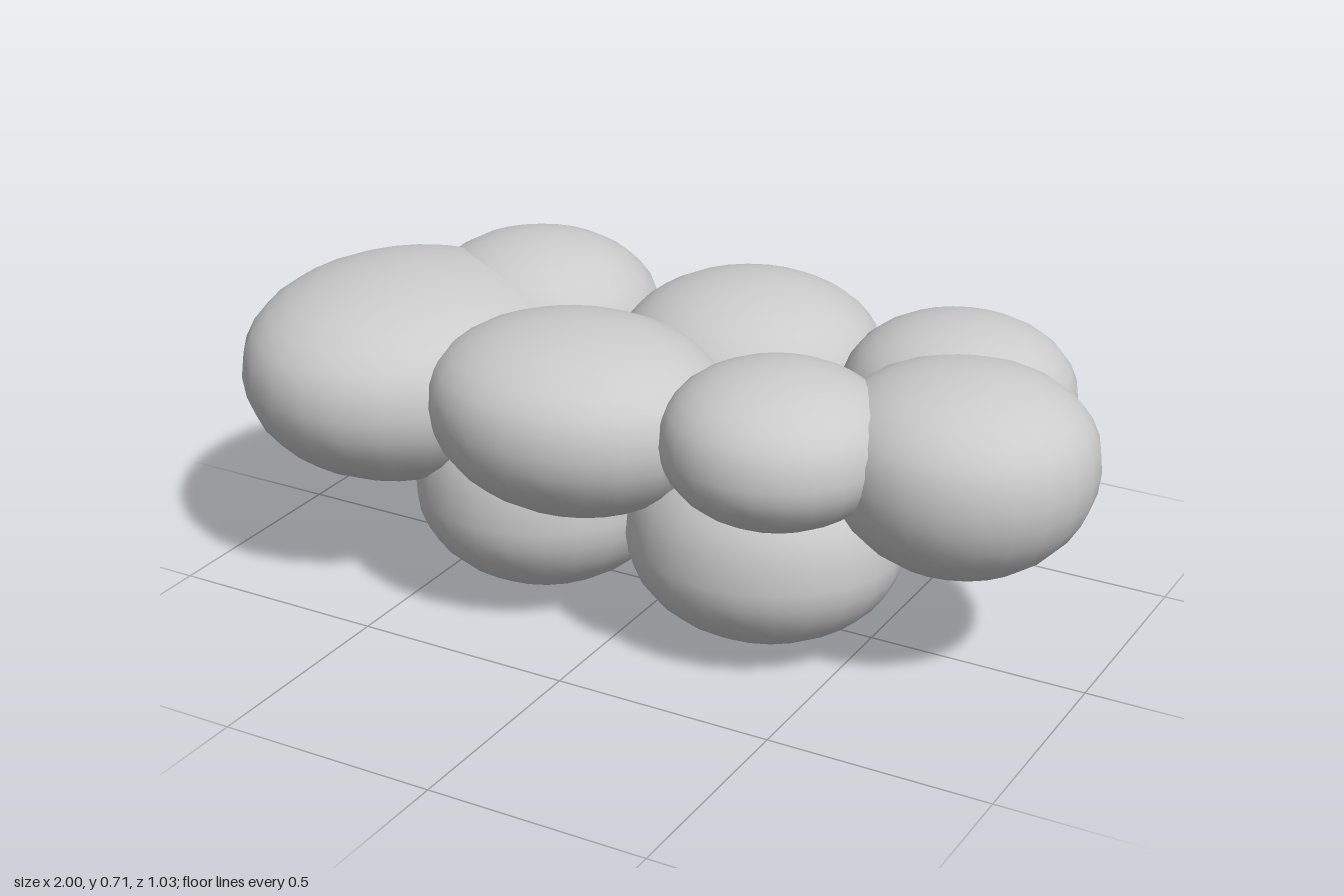
import * as THREE from 'three';

// name, centre x, centre z, radius x, radius z, bottom y, widest y, top y
const PUFFS = [
  ['leftEndPuff', -0.64, 0.1, 0.36, 0.41, 0.22, 0.48, 0.7],
  ['backLeftPuff', -0.47, -0.2, 0.29, 0.29, 0.23, 0.48, 0.71],
  ['backMiddlePuff', 0.08, -0.21, 0.31, 0.31, 0.25, 0.48, 0.7],
  ['backRightPuff', 0.6, -0.19, 0.26, 0.25, 0.33, 0.52, 0.71],
  ['rightEndPuff', 0.71, 0.04, 0.29, 0.28, 0.25, 0.5, 0.7],
  ['frontMiddlePuff', -0.12, 0.21, 0.34, 0.3, 0.28, 0.51, 0.7],
  ['frontRightPuff', 0.37, 0.22, 0.25, 0.25, 0.36, 0.53, 0.7],
  ['lowerLeftPuff', -0.3, 0.05, 0.3, 0.31, 0, 0.23, 0.5],
  ['lowerRightPuff', 0.28, 0.09, 0.31, 0.29, 0.02, 0.24, 0.5],
];

// An ellipsoid with separate upper and lower heights and a flattened crown
function puffGeometry(rx, rz, bottom, mid, top) {
  const geometry = new THREE.SphereGeometry(1, 24, 16);
  const p = geometry.attributes.position;
  const n = geometry.attributes.normal;
  const k = 0.82;
  const normal = new THREE.Vector3();
  for (let i = 0; i < p.count; i++) {
    const x = p.getX(i), y = p.getY(i), z = p.getZ(i);
    const upper = y > 1e-6;
    const height = upper ? (top - mid) * Math.pow(y, k) : (mid - bottom) * y;
    const slope = upper ? (top - mid) * k * Math.pow(y, k - 1) : mid - bottom;
    p.setXYZ(i, x * rx, height, z * rz);
    normal.set(x / rx, y / slope, z / rz).normalize();
    n.setXYZ(i, normal.x, normal.y, normal.z);
  }
  return geometry;
}

export function createModel() {
  const cloud = new THREE.Group();
  cloud.name = 'cloud';
  const material = new THREE.MeshStandardMaterial({ color: 0xcccccc });
  for (const [name, x, z, rx, rz, bottom, mid, top] of PUFFS) {
    const puff = new THREE.Mesh(puffGeometry(rx, rz, bottom, mid, top), material);
    puff.name = name;
    puff.position.set(x, mid, z);
    cloud.add(puff);
  }
  return cloud;
}
